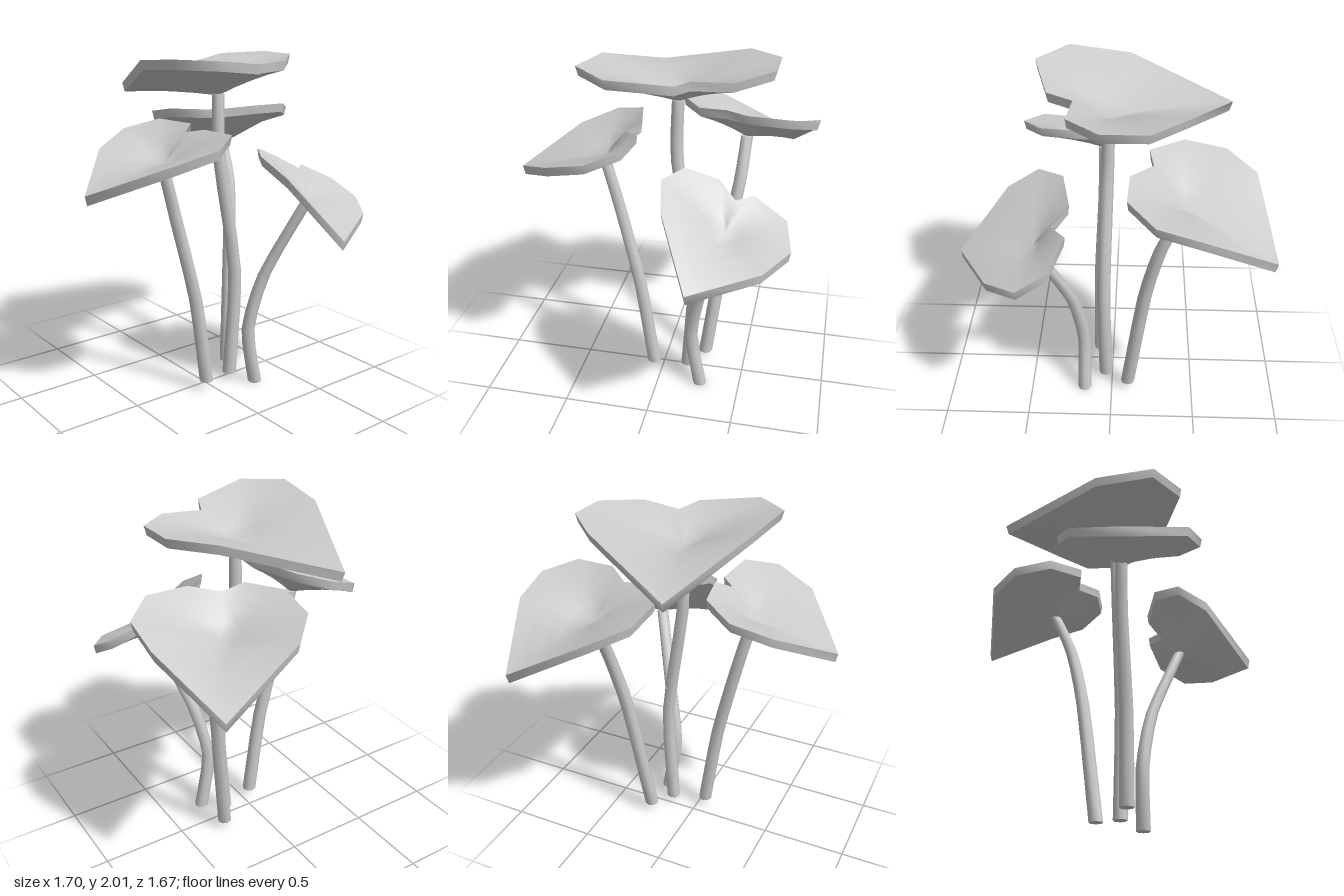
import * as THREE from 'three';
import { mergeGeometries, mergeVertices } from 'three/addons/utils/BufferGeometryUtils.js';

const gray = new THREE.MeshStandardMaterial({ color: 0xcccccc });
gray.name = 'plantGray';

const vec = (p) => new THREE.Vector3(...p);

// Smooth skin over a list of closed rings, ordered from the top centre outward and down.
function loft(rings) {
  const n = rings[0].length;
  const positions = rings.flat().flatMap((p) => p.toArray());
  const index = [];
  for (let r = 0; r < rings.length - 1; r++) {
    for (let i = 0; i < n; i++) {
      const j = (i + 1) % n;
      const a = r * n + i, b = r * n + j, c = a + n, d = b + n;
      index.push(a, c, d, a, d, b);
    }
  }
  const geo = new THREE.BufferGeometry();
  geo.setAttribute('position', new THREE.Float32BufferAttribute(positions, 3));
  geo.setIndex(index);
  const welded = mergeVertices(geo);
  welded.computeVertexNormals();
  return welded;
}

// Heart outline: straight sides from the tip, with a rounded lobe on each side of the notch.
function heartOutline(keys, bulges) {
  const [tip, sideA, lobeA, notch, lobeB, sideB] = keys;
  const middle = keys.reduce((s, p) => s.add(p), new THREE.Vector3()).divideScalar(keys.length);
  const lobe = (from, to, bulge) => {
    const chord = to.clone().sub(from);
    const along = chord.clone().normalize();
    const out = from.clone().lerp(to, 0.5).sub(middle);
    out.addScaledVector(along, -out.dot(along)).setLength(chord.length() * bulge);
    return [0, 0.3, 0.7, 1].map((t) => {
      const p = from.clone().lerp(to, t);
      return t > 0 && t < 1 ? p.add(out) : p;
    });
  };
  return [tip, ...lobe(sideA, lobeA, bulges[0]), notch, ...lobe(lobeB, sideB, bulges[1])];
}

// Dished leaf with a thin rim and an underside.
function makeLeaf({ name, centre, keys, bulges }) {
  const rim = heartOutline(keys.map(vec), bulges);
  const mid = vec(centre);
  const low = mid.clone().setY(mid.y - 0.035);
  const lowRim = rim.map((p) => p.clone().lerp(mid, 0.025).setY(p.y - 0.053));
  const ring = (c, edge, t) => edge.map((p) => {
    const q = c.clone().lerp(p, t);
    q.y += 0.05 * t * (1 - t); // slight bulge between centre and rim
    return q;
  });
  const steps = [0, 0.25, 0.5, 0.75, 1];
  const geo = mergeGeometries([
    loft(steps.map((t) => ring(mid, rim, t))),
    loft([rim, lowRim]),
    loft([...steps].reverse().map((t) => ring(low, lowRim, t))),
  ]);
  const mesh = new THREE.Mesh(geo, gray);
  mesh.name = name + 'Leaf';
  return mesh;
}

// Bent stalk with closed ends, from just under the leaf centre down to the base.
function makeStem({ name, centre, stem }) {
  const top = vec(centre);
  top.y -= 0.025;
  const curve = new THREE.CatmullRomCurve3([top, ...stem.map(vec)], false, 'catmullrom', 0.35);
  const sides = 8, steps = 9;
  const ring = (t, scale) => {
    const c = curve.getPoint(t);
    const r = (0.035 + 0.007 * t) * scale;
    return Array.from({ length: sides }, (_, i) => {
      const a = (i / sides) * Math.PI * 2;
      return new THREE.Vector3(c.x - r * Math.cos(a), c.y, c.z + r * Math.sin(a));
    });
  };
  const geo = mergeGeometries([
    loft([ring(0, 0), ring(0, 1)]),
    loft(Array.from({ length: steps + 1 }, (_, i) => ring(i / steps, 1))),
    loft([ring(1, 1), ring(1, 0)]),
  ]);
  const mesh = new THREE.Mesh(geo, gray);
  mesh.name = name + 'Stem';
  return mesh;
}

// Leaf keys: tip, side, lobe, notch, lobe, side, anticlockwise from above.
const plants = [
  {
    name: 'top',
    centre: [0.02, 1.805, -0.08],
    keys: [[-0.65, 1.8, 0.14], [-0.09, 1.98, 0.37], [0.34, 1.96, -0.12],
      [0.2, 1.945, -0.18], [0.22, 1.96, -0.41], [-0.38, 1.97, -0.42]],
    bulges: [0.45, 0.32],
    stem: [[0.03, 1.42, -0.08], [0.05, 0.7, -0.19], [0.04, 0.04, -0.16]],
  },
  {
    name: 'backRight',
    centre: [-0.38, 1.47, -0.42],
    keys: [[-0.85, 1.31, -0.68], [-0.77, 1.56, -0.21], [-0.2, 1.66, -0.16],
      [-0.22, 1.65, -0.31], [-0.1, 1.67, -0.45], [-0.45, 1.55, -0.84]],
    bulges: [0.25, 0.31],
    stem: [[-0.27, 1.18, -0.4], [-0.19, 0.8, -0.34], [-0.1, 0.05, -0.25]],
  },
  {
    name: 'front',
    centre: [0.06, 1.43, 0.33],
    keys: [[0.07, 1.325, 0.83], [0.44, 1.5, 0.55], [0.15, 1.61, 0.12],
      [0.08, 1.595, 0.2], [0.03, 1.63, 0.12], [-0.23, 1.5, 0.56]],
    bulges: [0.4, 0.35],
    stem: [[0.06, 1.1, 0.25], [0.08, 0.6, 0.13], [0.08, 0.06, 0.05]],
  },
  {
    name: 'backLeft',
    centre: [0.42, 1.2, -0.41],
    keys: [[0.845, 1.065, -0.28], [0.65, 1.12, -0.64], [0.23, 1.35, -0.54],
      [0.31, 1.35, -0.45], [0.22, 1.42, -0.35], [0.58, 1.38, -0.105]],
    bulges: [0.34, 0.35],
    stem: [[0.235, 0.72, -0.265], [0.17, 0.36, -0.2], [0.17, 0, -0.26]],
  },
];

export function createModel() {
  const group = new THREE.Group();
  group.name = 'leafyPlant';
  for (const plant of plants) group.add(makeLeaf(plant), makeStem(plant));
  return group;
}
